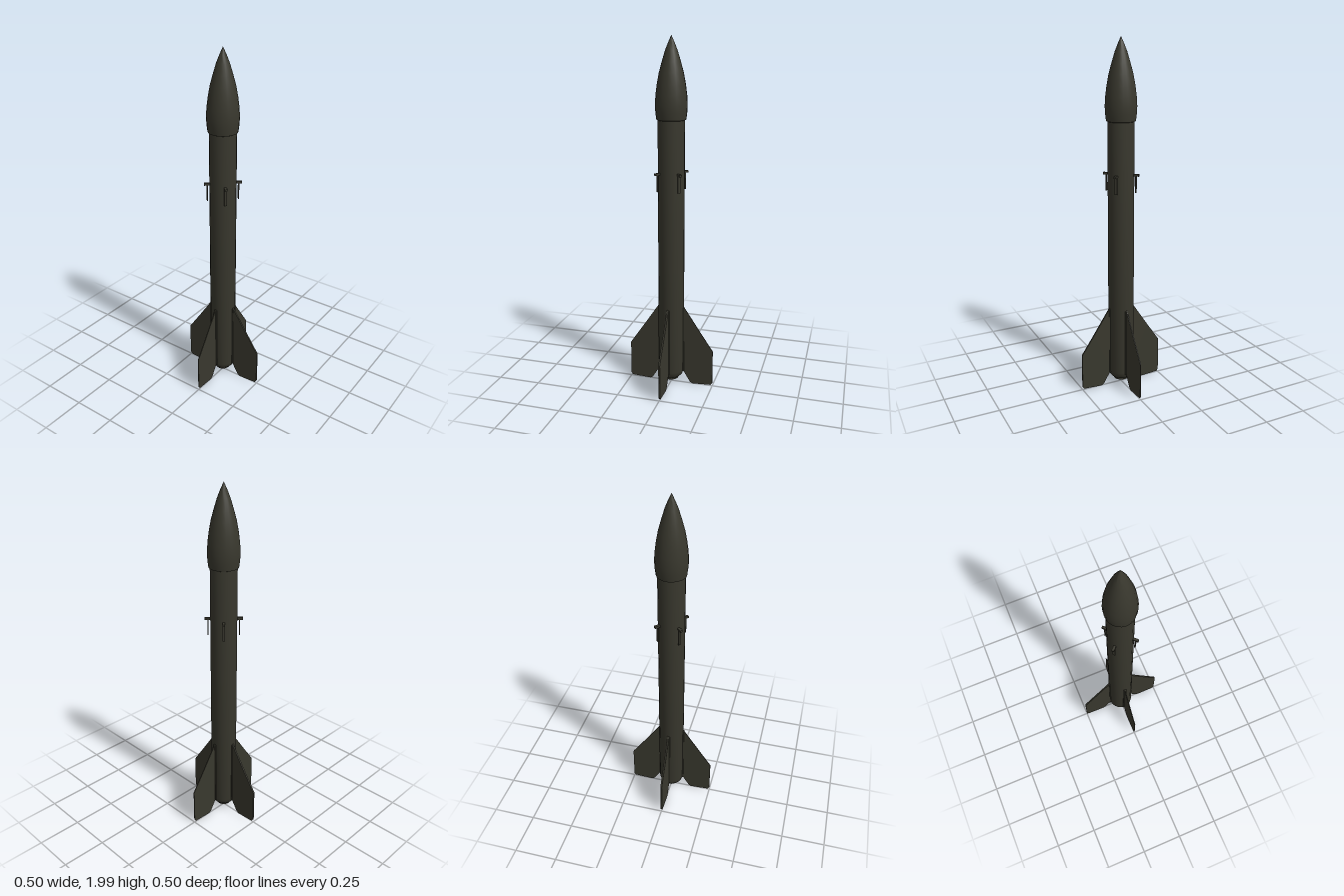
import * as THREE from 'three';
import { toCreasedNormals } from 'three/addons/utils/BufferGeometryUtils.js';

export function createModel() {
  const root = new THREE.Group();
  root.name = 'rocket';
  const olive = new THREE.MeshStandardMaterial({ color: 0x39382e });
  olive.name = 'dark olive';

  const add = (parent, geometry, name) => {
    const mesh = new THREE.Mesh(geometry, olive);
    mesh.name = name;
    parent.add(mesh);
    return mesh;
  };
  // Turned part from [radius, height] pairs, listed from bottom to top
  const turned = (points, name) => add(root, toCreasedNormals(
    new THREE.LatheGeometry(points.map(p => new THREE.Vector2(...p)), 20), 0.6), name);

  // Straight tube with a tapered tail, and the recessed exhaust below it
  turned([[0.04, 0.05], [0.055, 0.05], [0.068, 0.065], [0.074, 0.09], [0.074, 1.57]], 'body');
  turned([[0, 0.055], [0.028, 0.045], [0.034, 0.033], [0.042, 0.033], [0.044, 0.055]], 'exhaust');

  // Bulging pointed nose with a small step over the tube
  turned([[0.07, 1.555], [0.081, 1.56], [0.086, 1.6], [0.088, 1.64], [0.085, 1.69], [0.078, 1.745],
    [0.067, 1.805], [0.052, 1.86], [0.034, 1.92], [0.018, 1.96], [0, 2]], 'noseCone');

  // Four swept tail fins, each with a narrow root strip
  const outline = [[0.06, 0.485], [0.075, 0.485], [0.175, 0.335], [0.25, 0.225], [0.25, 0.025],
    [0.24, 0.012], [0.13, 0.006], [0.115, 0.015], [0.075, 0.08], [0.06, 0.085]];
  const finShape = new THREE.Shape(outline.map(p => new THREE.Vector2(...p)));
  for (let i = 0; i < 4; i++) {
    const fin = new THREE.Group();
    fin.name = 'tailFin';
    const depth = i % 2 ? 0.009 : 0.005;
    const blade = new THREE.ExtrudeGeometry(finShape, { depth, bevelEnabled: false });
    blade.translate(0, 0, -depth / 2);
    add(fin, blade, 'finBlade');
    add(fin, new THREE.BoxGeometry(0.02, 0.4, 0.018), 'finRoot').position.set(0.068, 0.28, 0);
    fin.rotation.y = i * Math.PI / 2;
    root.add(fin);
  }

  // Four small lugs on the diagonals: an outward arm with a hanging post
  for (let i = 0; i < 4; i++) {
    const lug = new THREE.Group();
    lug.name = 'guideLug';
    add(lug, new THREE.BoxGeometry(0.04, 0.012, 0.014), 'lugArm').position.set(0.084, 1.267, 0);
    add(lug, new THREE.BoxGeometry(0.006, 0.095, 0.014), 'lugPost').position.set(0.086, 1.217, 0);
    lug.rotation.y = Math.PI / 4 + i * Math.PI / 2;
    root.add(lug);
  }
  return root;
}
